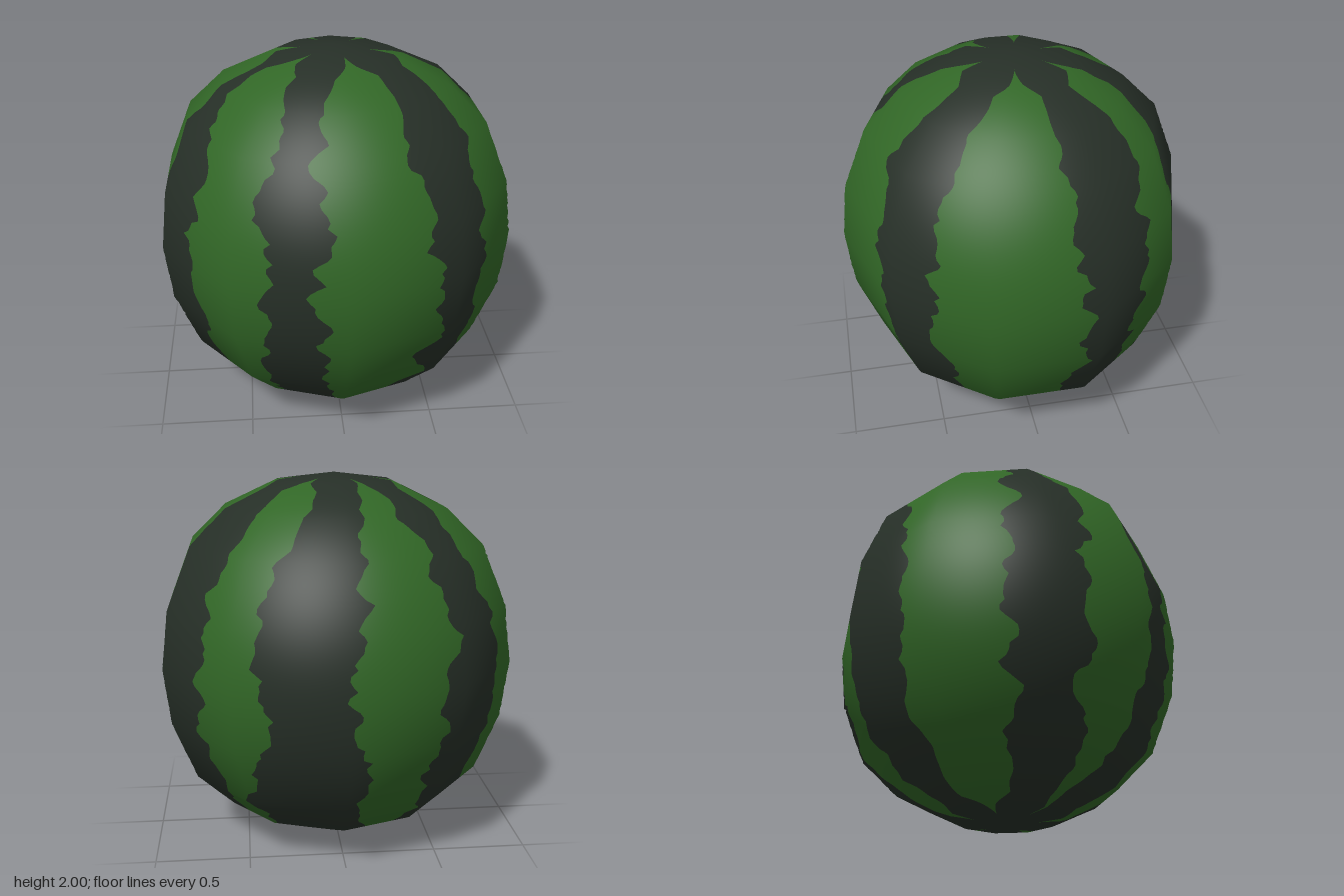
import * as THREE from 'three';

// Ten-sided cross-section at the equator, from the front round to the back through +x
const HALF = [[0, 0.945], [0.585, 0.74], [0.936, 0.285], [0.936, -0.285], [0.585, -0.74], [0, -0.945]];
const RING = [...HALF, ...HALF.slice(1, 5).reverse().map(([x, z]) => [-x, z])];
// Height and relative width of each ring, top to bottom
const TOP = [[2, 0], [1.96, 0.321], [1.82, 0.626], [1.63, 0.829], [1.31, 0.962], [1, 1]];
const PROFILE = [...TOP, ...TOP.slice(0, 5).reverse().map(([y, k]) => [2 - y, k])];
const STEPS = 12, COLS = 18;

// Left and right edge of each dark stripe in degrees, every 0.3 from y = 1.9 down to 0.1
const STRIPES = [
  [[-32, -27, -26, -27, -24, -27, -36], [-8, -11, -8, -9, -7, -8, -5]],
  [[32, 26, 28, 29, 28, 29, 28], [60, 52, 52, 50, 51, 57, 53]],
  [[98, 102, 100, 102, 103, 97, 94], [133, 131, 128, 128, 126, 128, 122]],
  [[165, 153, 150, 152, 153, 145, 140], [192, 185, 184, 181, 184, 185, 189]],
  [[208, 211, 211, 211, 210, 211, 210], [236, 231, 237, 241, 239, 239, 238]],
  [[279, 277, 278, 278, 278, 278, 278], [295, 302, 305, 303, 305, 305, 314]],
];

const mix = (a, b, f) => a + (b - a) * f;

// Repeatable value between -1 and 1
function hash(n) {
  const s = Math.sin(n * 127.1 + 3.7) * 43758.5453;
  return 2 * (s - Math.floor(s)) - 1;
}

// Ragged wobble along a line, one random value per unit
function wobble(w, seed) {
  const m = Math.floor(w);
  return mix(hash(m + seed), hash(m + 1 + seed), w - m);
}

// Height and relative width at a ring position t (0 top, 10 bottom)
function profileAt(t) {
  const i = Math.min(Math.floor(t), 9), f = t - i;
  return [mix(PROFILE[i][0], PROFILE[i + 1][0], f), mix(PROFILE[i][1], PROFILE[i + 1][1], f)];
}

// Point on the faceted rind
function pointAt(deg, t) {
  const u = (((deg / 36) % 10) + 10) % 10;
  const j = Math.floor(u) % 10, f = u - Math.floor(u), n = (j + 1) % 10;
  const [y, k] = profileAt(t);
  return new THREE.Vector3(mix(RING[j][0], RING[n][0], f) * k, y, mix(RING[j][1], RING[n][1], f) * k);
}

// Smooth normal, blended between the two neighbouring rings
function normalAt(deg, t) {
  const i = Math.min(Math.floor(t), 9);
  const ringNormal = (r) => {
    const p = pointAt(deg, r);
    return new THREE.Vector3(p.x / 0.9, p.y - 1, p.z / 0.9).normalize();
  };
  return ringNormal(i).lerp(ringNormal(i + 1), t - i).normalize();
}

// Ragged stripe edge at height y
function edgeAt(s, side, y) {
  const list = STRIPES[s][side], seed = (s * 2 + side) * 91;
  const p = THREE.MathUtils.clamp((1.9 - y) / 0.3, 0, 6);
  const i = Math.min(Math.floor(p), 5);
  return mix(list[i], list[i + 1], p - i) + 4 * wobble(y / 0.09, seed) + 2 * wobble(y / 0.035, seed + 40);
}

// Both edges of the green gap after stripe s; the gap closes near the poles
function gapAt(s, y) {
  const next = (s + 1) % 6;
  const a = edgeAt(s, 1, y), b = edgeAt(next, 0, y) + (next === 0 ? 360 : 0);
  const open = THREE.MathUtils.clamp((0.977 - Math.abs(y - 1)) / 0.05, 0, 1);
  const mid = (a + b) / 2;
  return [mix(mid, a, open), mix(mid, b, open)];
}

// Surface strip between two edges that vary with height
function stripGeometry(edges) {
  const pos = [], nor = [], index = [], rows = 10 * STEPS, w = COLS + 1;
  for (let r = 0; r <= rows; r++) {
    const t = r / STEPS;
    const [a, b] = edges(profileAt(t)[0]);
    for (let c = 0; c <= COLS; c++) {
      const deg = mix(a, b, c / COLS);
      pos.push(...pointAt(deg, t).toArray());
      nor.push(...normalAt(deg, t).toArray());
      if (r < rows && c < COLS) {
        const q = r * w + c;
        index.push(q, q + w, q + w + 1, q, q + w + 1, q + 1);
      }
    }
  }
  const geo = new THREE.BufferGeometry();
  geo.setAttribute('position', new THREE.Float32BufferAttribute(pos, 3));
  geo.setAttribute('normal', new THREE.Float32BufferAttribute(nor, 3));
  geo.setIndex(index);
  return geo;
}

export function createModel() {
  const green = new THREE.MeshStandardMaterial({ color: 0x316626 });
  green.name = 'rind green';
  const dark = new THREE.MeshStandardMaterial({ color: 0x262f27 });
  dark.name = 'stripe dark green';

  const model = new THREE.Group();
  model.name = 'watermelon';
  const add = (name, edges, material) => {
    const mesh = new THREE.Mesh(stripGeometry(edges), material);
    mesh.name = name;
    model.add(mesh);
  };

  // Alternate dark stripes and green gaps around the melon
  for (let s = 0; s < 6; s++) {
    add(`rindBand${s + 1}`, (y) => gapAt(s, y), green);
    add(`darkStripe${s + 1}`, (y) => {
      const before = gapAt((s + 5) % 6, y)[1] - (s === 0 ? 360 : 0);
      return [before, gapAt(s, y)[0]];
    }, dark);
  }
  return model;
}
